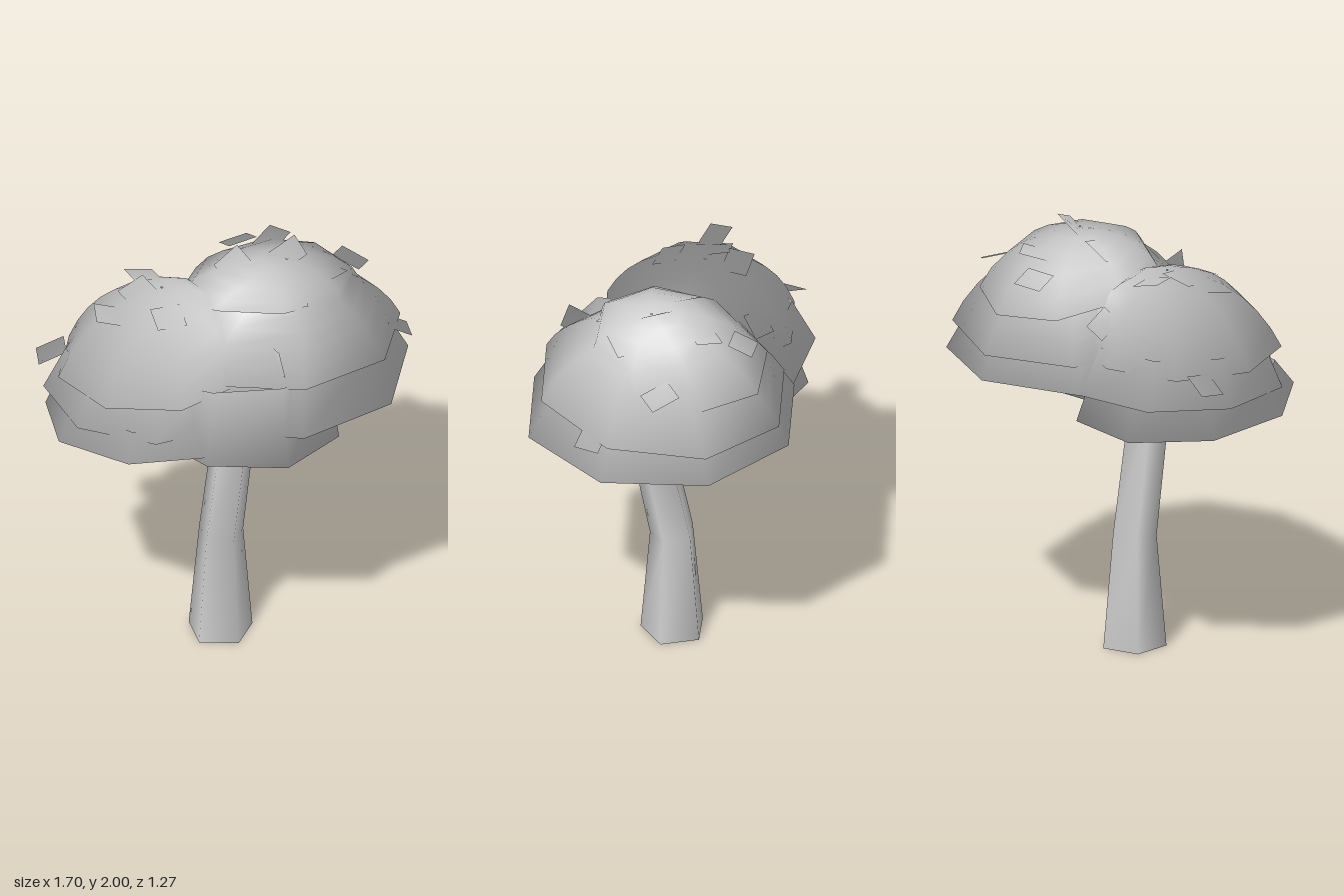
import * as THREE from 'three';

const V = (x, y, z) => new THREE.Vector3(x, y, z);
const mix = THREE.MathUtils.lerp;
const rad = THREE.MathUtils.degToRad;
const bark = new THREE.MeshStandardMaterial({ color: 0xcccccc, side: THREE.DoubleSide });
const foliage = new THREE.MeshStandardMaterial({ color: 0xcccccc, side: THREE.DoubleSide });
const crownCentre = V(0.12, 1.6, 0);

// Smooth surface through closed rings, listed from bottom to top
function loft(rings) {
  const n = rings[0].length;
  const index = [];
  for (let i = 0; i < rings.length - 1; i++) {
    for (let j = 0; j < n; j++) {
      const k = (j + 1) % n;
      const a = i * n + j, b = i * n + k, c = a + n, d = b + n;
      index.push(a, c, b, b, c, d);
    }
  }
  const g = new THREE.BufferGeometry().setFromPoints(rings.flat());
  g.setIndex(index);
  g.computeVertexNormals();
  return g;
}

// Shades foliage as one round mass: normals point away from the crown centre
function roundNormals(g) {
  const v = V(0, 0, 0);
  for (let i = 0; i < g.attributes.position.count; i++) {
    v.fromBufferAttribute(g.attributes.position, i).sub(crownCentre).normalize();
    g.attributes.normal.setXYZ(i, v.x, v.y, v.z);
  }
  return g;
}

// Five-sided tapering limb, open at the ends: stations are [x, y, z, radius]
function limb(stations) {
  const p = stations.map(([x, y, z]) => V(x, y, z));
  const rings = stations.map(([, , , r], i) => {
    const dir = i === 0 && p[0].y === 0 ? V(0, 1, 0)
      : p[Math.min(i + 1, p.length - 1)].clone().sub(p[Math.max(i - 1, 0)]).normalize();
    const q = new THREE.Quaternion().setFromUnitVectors(V(0, 1, 0), dir);
    return Array.from({ length: 5 }, (_, j) => {
      const a = rad(135 + j * 72);
      return V(r * Math.cos(a), 0, r * Math.sin(a)).applyQuaternion(q).add(p[i]);
    });
  });
  return loft(rings);
}

// Eight-sided foliage layer from a tilted rim to a top ring, both [x, y, z, radius].
// One step gives a straight skirt, more steps a dome whose arc begins at angle start.
function layer(rim, top, [slopeX, slopeZ], phase, steps, start, topSlopeZ = 0) {
  const rings = [];
  for (let i = 0; i <= steps; i++) {
    const t = i / steps, a = mix(start, Math.PI / 2, t);
    const rise = (Math.sin(a) - Math.sin(start)) / (1 - Math.sin(start));
    const r = mix(top[3], rim[3], Math.cos(a) / Math.cos(start));
    rings.push(Array.from({ length: 8 }, (_, j) => {
      const b = rad(phase + j * 45);
      const dx = r * Math.cos(b), dz = r * Math.sin(b);
      const tilt = (slopeX * dx + slopeZ * dz) * (1 - t) + topSlopeZ * dz * t;
      return V(mix(rim[0], top[0], t) + dx, mix(rim[1], top[1], rise) + tilt, mix(rim[2], top[2], t) + dz);
    }));
  }
  return roundNormals(loft(rings));
}

export function createModel() {
  const model = new THREE.Group();
  const add = (name, geometry, material, parent = model) => {
    const mesh = new THREE.Mesh(geometry, material);
    mesh.name = name;
    parent.add(mesh);
  };

  // Bent trunk
  add('trunk', limb([
    [-0.033, 0, 0.078, 0.152], [-0.03, 0.53, 0.082, 0.105],
    [0.015, 1.12, 0.195, 0.1], [0.07, 1.5, 0.03, 0.095], [0.1, 1.75, 0, 0.07],
  ]), bark);

  // Branches reaching into the crowns
  [
    [[0.02, 1.13, 0.19, 0.065], [-0.2, 1.24, 0.17, 0.06], [-0.34, 1.4, 0.14, 0.05], [-0.36, 1.62, 0.12, 0.02]],
    [[0.08, 1.46, 0.05, 0.055], [-0.08, 1.54, 0.1, 0.05], [-0.22, 1.62, 0.12, 0.02]],
    [[0.04, 1.2, 0.16, 0.05], [0.16, 1.33, 0.27, 0.04], [0.2, 1.5, 0.32, 0.02]],
  ].forEach((s) => add('branch', limb(s), bark));

  // Crowns made of overlapping layers: rim, top, slope, phase, steps, start, top slope
  const crowns = {
    leftCrown: [
      [[0.21, 1.36, -0.01, 0.64], [0.22, 1.6, -0.01, 0.5], [0, 0], -97, 1, 0],
      [[0.23, 1.52, -0.03, 0.585], [0.28, 1.87, 0, 0.005], [0.03, 0.09], -52, 7, 0.45],
      [[0.21, 1.73, -0.11, 0.41], [0.28, 1.93, 0, 0.005], [0.02, 0.24], -92, 5, 0.3],
    ],
    rightCrown: [
      [[-0.34, 1.235, 0.15, 0.51], [-0.34, 1.4, 0.14, 0.43], [0, 0.1], 20, 1, 0],
      [[-0.34, 1.36, 0.1, 0.5], [-0.34, 1.57, 0.11, 0.4], [0, 0], 5, 1, 0],
      [[-0.33, 1.515, 0.13, 0.46], [-0.3, 1.87, 0.08, 0.005], [0.05, 0.02], -8, 7, 0.45],
    ],
    frontCrown: [
      [[0.03, 1.24, 0.18, 0.485], [0.04, 1.48, 0.16, 0.42], [-0.1, -0.03], 22.5, 1, 0, 0.28],
    ],
  };
  for (const [name, layers] of Object.entries(crowns)) {
    const crown = new THREE.Group();
    crown.name = name;
    layers.forEach((l) => add('foliageLayer', layer(...l), foliage, crown));
    model.add(crown);
  }

  // Loose square leaves half sunk in the crowns: x, y, z, lean about x, turn, lean about z
  [
    [0.1, 1.8, -0.38, -0.4, 0.3, 0.2], [0.29, 1.94, -0.03, 0.4, 0.4, 0.4],
    [0.24, 1.87, -0.27, -0.1, 0.8, 0.3], [0.6, 1.75, -0.25, -0.2, -0.5, -0.4],
    [0.04, 1.89, -0.05, 0.3, 0.5, 0.45], [0.47, 1.87, 0.02, 0.2, 0.9, -0.4],
    [0.28, 1.85, 0.2, 0.4, 0, 0.1], [0.56, 1.62, 0.28, 0.8, -0.7, -0.7],
    [0.78, 1.54, 0, 0, 0.1, -0.5], [-0.25, 1.66, -0.24, -0.8, -0.2, 0.1],
    [-0.37, 1.86, -0.05, -0.1, 0.3, -0.2], [-0.41, 1.86, 0.08, 0.2, 0.5, 0.2],
    [-0.55, 1.81, 0.19, 0.2, 0, -0.3], [-0.29, 1.83, 0.27, 0.4, 0.2, -0.1],
    [-0.79, 1.48, -0.05, 0.1, 0, 0.45], [0.19, 1.67, 0.45, 1.3, 0.2, 1.4],
  ].forEach(([x, y, z, rx, ry, rz]) => {
    const turn = new THREE.Matrix4().makeRotationFromEuler(new THREE.Euler(rx, ry, rz));
    const leaf = new THREE.PlaneGeometry(0.14, 0.12).rotateX(-Math.PI / 2);
    add('looseLeaf', roundNormals(leaf.applyMatrix4(turn).translate(x, y, z)), foliage);
  });

  return model;
}
